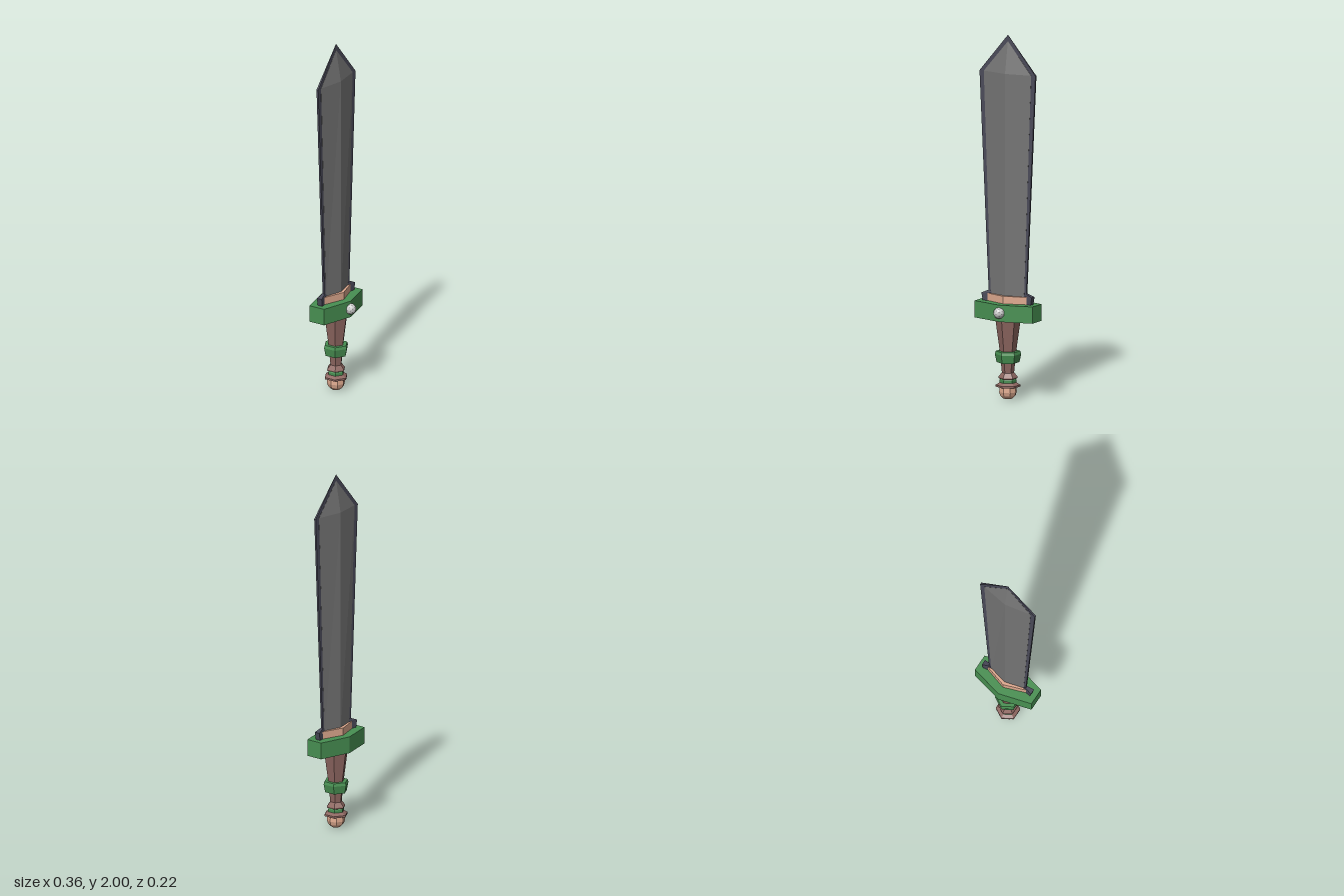
import * as THREE from 'three';

const mat = (color) => new THREE.MeshStandardMaterial({ color, flatShading: true, side: THREE.DoubleSide });
const steel = mat(0x747474), darkSteel = mat(0x4a4a59), green = mat(0x489052);
const tan = mat(0xdfaa8f), wood = mat(0x8d6660), grey = mat(0xcccccc);

const shapeOf = (pts) => new THREE.Shape(pts.map(([x, y]) => new THREE.Vector2(x, y)));

// Extrudes an x-y outline, with the half thickness given by a rule of x and y
function slab(pts, halfThickness) {
  const geo = new THREE.ExtrudeGeometry(shapeOf(pts), { depth: 2, bevelEnabled: false });
  const p = geo.attributes.position;
  for (let i = 0; i < p.count; i++) {
    p.setZ(i, (p.getZ(i) - 1) * halfThickness(p.getX(i), p.getY(i)));
  }
  geo.computeVertexNormals();
  return geo;
}

// Six-cornered plan (pointed at front and back) raised from y0 to y1
function hexPlate(halfX, endZ, midZ, y0, y1) {
  const pts = [[0, -midZ], [halfX, -endZ], [halfX, endZ], [0, midZ], [-halfX, endZ], [-halfX, -endZ]];
  const geo = new THREE.ExtrudeGeometry(shapeOf(pts), { depth: y1 - y0, bevelEnabled: false });
  return geo.rotateX(-Math.PI / 2).translate(0, y0, 0);
}

// Diamond cross-sections [y, half width, edge half thickness, ridge half thickness]
function bladeLoft(sections) {
  const rings = sections.map(([y, w, e, t]) =>
    [[0, y, t], [w, y, e], [w, y, -e], [0, y, -t], [-w, y, -e], [-w, y, e]]);
  const pos = [];
  for (let s = 0; s < rings.length - 1; s++) {
    for (let i = 0; i < 6; i++) {
      const j = (i + 1) % 6;
      const [a, b, c, d] = [rings[s][i], rings[s][j], rings[s + 1][j], rings[s + 1][i]];
      pos.push(...a, ...b, ...c, ...a, ...c, ...d);
    }
  }
  const geo = new THREE.BufferGeometry();
  geo.setAttribute('position', new THREE.Float32BufferAttribute(pos, 3));
  geo.computeVertexNormals();
  return geo;
}

// Turned handle parts; corners point to front and back
const turned = (profile, sides = 6) =>
  new THREE.LatheGeometry(profile.map(([r, y]) => new THREE.Vector2(r, y)), sides);

export function createModel() {
  const sword = new THREE.Group();
  sword.name = 'sword';
  const body = new THREE.Group();
  body.name = 'swordBody';
  body.position.z = -0.017;
  sword.add(body);
  const add = (name, geo, material) => {
    const mesh = new THREE.Mesh(geo, material);
    mesh.name = name;
    body.add(mesh);
    return mesh;
  };

  // Blade with a central ridge, and the thin cutting edge around it
  add('blade', bladeLoft([
    [0.53, 0.103, 0.006, 0.032],
    [1.79, 0.148, 0.006, 0.032],
    [1.965, 0, 0.001, 0.001],
  ]), steel);
  const outline = [[-0.115, 0.53], [0.115, 0.53], [0.175, 1.79], [0, 2], [-0.175, 1.79]];
  add('cuttingEdge', slab(outline, (x, y) => (y > 1.8 ? 0.0003 : 0.0055)), darkSteel);

  // Flared prongs at the blade's base
  for (const s of [1, -1]) {
    const pts = [[0.09, 0.53], [0.15, 0.53], [0.157, 0.574], [0.115, 0.592], [0.09, 0.58]];
    add(s > 0 ? 'leftProng' : 'rightProng',
      slab(pts.map(([x, y]) => [x * s, y]), (x) => 0.006 + Math.max(0, Math.abs(x) - 0.11) * 0.21), darkSteel);
  }

  // Collar, guard and stud
  add('collar', hexPlate(0.132, 0.007, 0.051, 0.53, 0.573), tan);
  add('guard', hexPlate(0.181, 0.048, 0.095, 0.44, 0.532), green);
  add('stud', new THREE.IcosahedronGeometry(0.031, 1), grey).position.set(0, 0.488, 0.096);

  // Handle
  add('grip', turned([[0.043, 0.255], [0.069, 0.445]]), wood);
  add('gripRing', turned([[0.035, 0.205], [0.062, 0.205], [0.071, 0.25], [0.066, 0.266], [0.035, 0.266]]), green);
  add('lowerGrip', turned([[0.04, 0.112], [0.052, 0.117], [0.052, 0.124], [0.033, 0.148], [0.039, 0.21]]), wood);
  add('neckRing', turned([[0.04, 0.085], [0.045, 0.09], [0.045, 0.108], [0.04, 0.116]]), green);
  add('pommelFlange', turned([[0.045, 0.066], [0.066, 0.07], [0.066, 0.08], [0.045, 0.093]]), wood);
  add('pommel', turned([[0, 0], [0.026, 0.006], [0.043, 0.022], [0.049, 0.042], [0.047, 0.07]], 8), tan);

  return sword;
}
